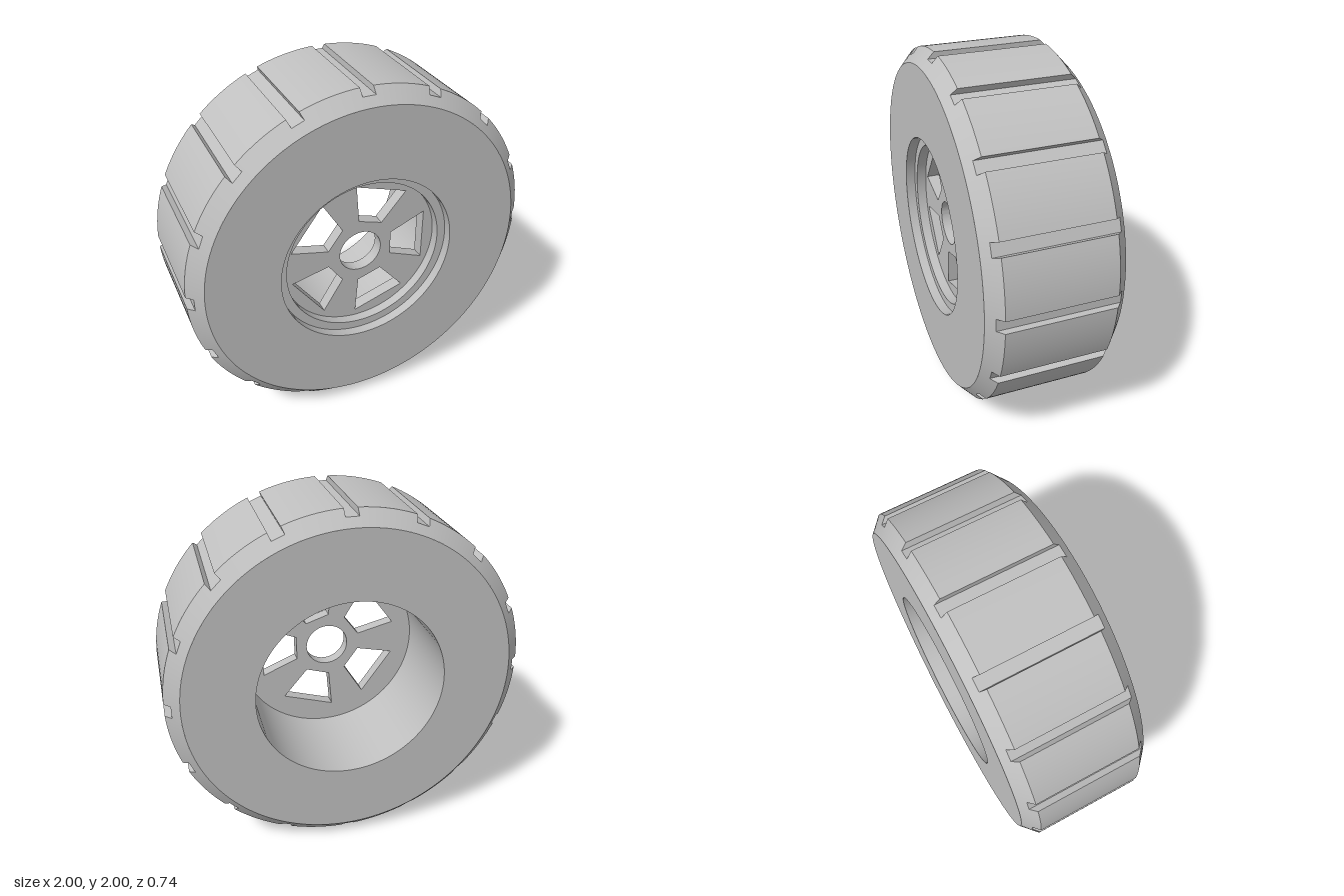
import * as THREE from 'three';
import { toCreasedNormals } from 'three/addons/utils/BufferGeometryUtils.js';

const GROOVES = 16, HALF_GROOVE = 0.036, FLOOR = 0.965, LAND_STEPS = 10;
const HALF_WIDTH = 0.37, SHOULDER_Z = 0.295, SIDE_R = 0.92, CREASE = 0.45;

// Tread outline at one radius: flat-floored grooves between round lands
function treadLoop(radius, z) {
  const floor = Math.min(radius, FLOOR), loop = [];
  const point = (r, a) => loop.push(new THREE.Vector3(r * Math.cos(a), r * Math.sin(a), z));
  const wall = (r) => Math.asin(HALF_GROOVE / r);
  const pitch = (Math.PI * 2) / GROOVES;
  for (let g = 0; g < GROOVES; g++) {
    const mid = g * pitch, edge = wall(radius);
    point(floor, mid - wall(floor));
    point(floor, mid + wall(floor));
    for (let i = 0; i <= LAND_STEPS; i++) {
      point(radius, mid + edge + ((pitch - 2 * edge) * i) / LAND_STEPS);
    }
  }
  return loop;
}

// Tread with bevelled shoulders, skinned over the outlines from back to front
function treadGeometry() {
  const floorZ = SHOULDER_Z + (HALF_WIDTH - SHOULDER_Z) * (1 - FLOOR) / (1 - SIDE_R);
  const half = [[1, SHOULDER_Z], [FLOOR, floorZ], [SIDE_R, HALF_WIDTH]];
  const sections = [...half.map(([r, z]) => [r, -z]).reverse(), ...half];
  const loops = sections.map(([r, z]) => treadLoop(r, z));
  const positions = [], triangle = new THREE.Triangle();
  const add = (a, b, c) => {
    if (triangle.set(a, b, c).getArea() < 1e-8) return;
    for (const p of [a, b, c]) positions.push(p.x, p.y, p.z);
  };
  for (let k = 0; k < loops.length - 1; k++) {
    const low = loops[k], high = loops[k + 1], n = low.length;
    for (let i = 0; i < n; i++) {
      const j = (i + 1) % n;
      add(low[i], low[j], high[j]);
      add(low[i], high[j], high[i]);
    }
  }
  const geometry = new THREE.BufferGeometry();
  geometry.setAttribute('position', new THREE.Float32BufferAttribute(positions, 3));
  return toCreasedNormals(geometry, CREASE);
}

// Surface of revolution about the wheel axis, from [radius, z] pairs
function turned(profile) {
  const geometry = new THREE.LatheGeometry(profile.map(([r, z]) => new THREE.Vector2(r, z)), 160);
  geometry.rotateX(Math.PI / 2);
  return toCreasedNormals(geometry, CREASE);
}

// Hub disc with a centre bore and five tapered windows
function hubGeometry(radius, back, front) {
  const disc = new THREE.Shape().absarc(0, 0, radius, 0, Math.PI * 2, false);
  disc.holes.push(new THREE.Path().absarc(0, 0, 0.125, 0, Math.PI * 2, true));
  const corners = [[0.187, 0.072], [0.392, 0.157], [0.392, -0.157], [0.187, -0.072]];
  for (let i = 0; i < 5; i++) {
    const turn = (i * Math.PI * 2) / 5;
    disc.holes.push(new THREE.Path(corners.map(([x, y]) =>
      new THREE.Vector2(x, y).rotateAround(new THREE.Vector2(), turn))));
  }
  const geometry = new THREE.ExtrudeGeometry(disc, {
    depth: front - back, bevelEnabled: false, curveSegments: 80,
  });
  geometry.translate(0, 0, back);
  return toCreasedNormals(geometry, CREASE);
}

export function createModel() {
  const grey = new THREE.MeshStandardMaterial({ color: 0xc0c0c0 });
  grey.name = 'grey';
  const wheel = new THREE.Group();
  wheel.name = 'wheel';
  const add = (name, geometry) => {
    const mesh = new THREE.Mesh(geometry, grey);
    mesh.name = name;
    mesh.position.y = 1;
    wheel.add(mesh);
  };

  add('tread', treadGeometry());
  // Front sidewall with the stepped rim recess
  add('frontSidewall', turned([
    [SIDE_R, HALF_WIDTH], [0.51, HALF_WIDTH], [0.51, 0.315], [0.46, 0.315], [0.46, 0.26],
  ]));
  // Back sidewall with the deep open bore
  add('backSidewall', turned([[0.53, 0.19], [0.53, -HALF_WIDTH], [SIDE_R, -HALF_WIDTH]]));
  add('hubDisc', hubGeometry(0.53, 0.19, 0.26));
  return wheel;
}
